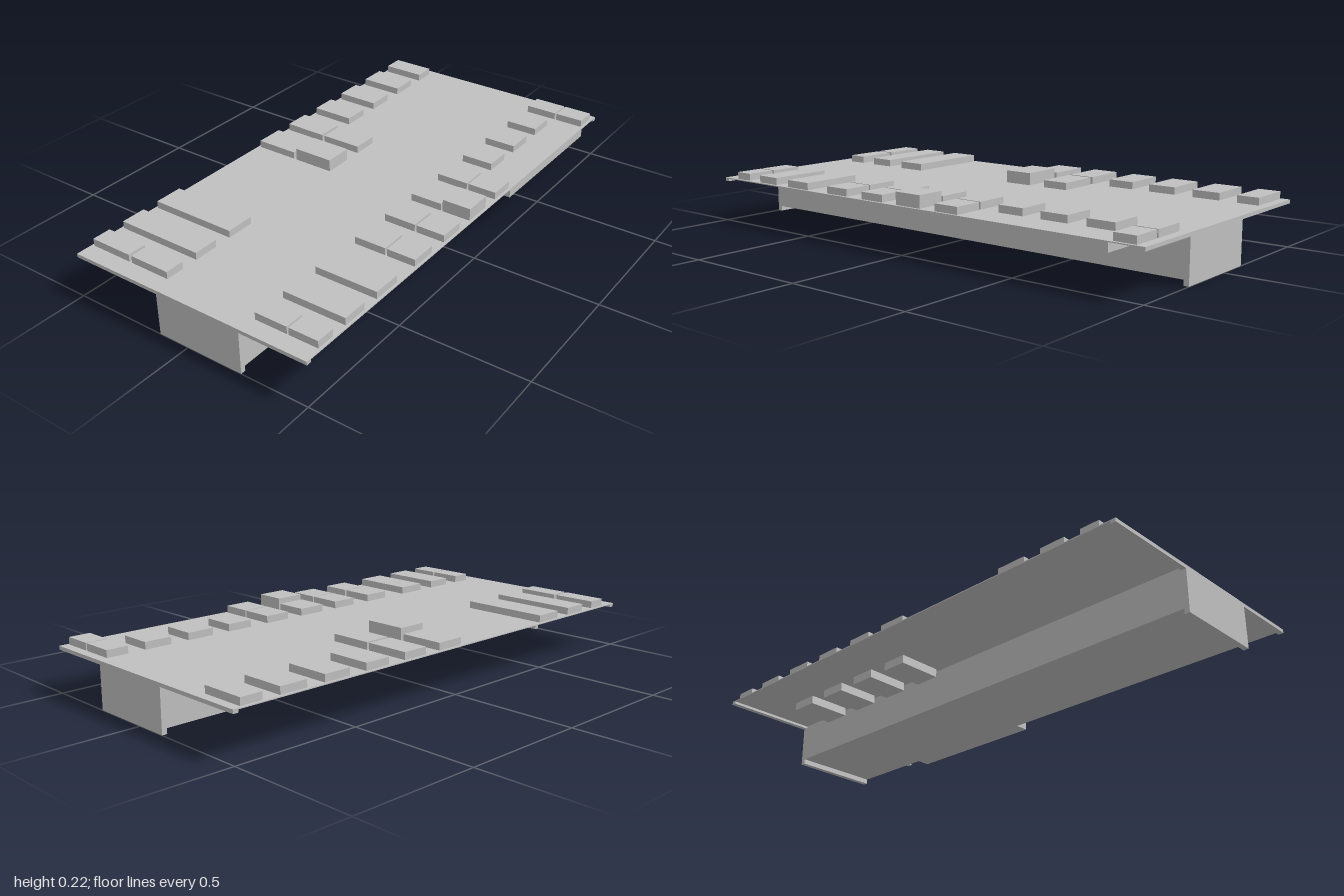
import * as THREE from 'three';

const grey = new THREE.MeshStandardMaterial({ color: 0xc0c0c0 });
grey.name = 'plain grey';

export function createModel() {
  const model = new THREE.Group();
  model.name = 'deckModel';

  // Box given by its [min, max] extents on each axis
  function slab(name, [x0, x1], [y0, y1], [z0, z1]) {
    const mesh = new THREE.Mesh(new THREE.BoxGeometry(x1 - x0, y1 - y0, z1 - z0), grey);
    mesh.position.set((x0 + x1) / 2, (y0 + y1) / 2, (z0 + z1) / 2);
    mesh.name = name;
    model.add(mesh);
  }

  const TOP = 0.177;
  const keel = [-0.125, 0.23];

  // Thin deck and the deep keel beneath it
  slab('deck', [-0.5, 0.5], [TOP - 0.004, TOP], [-1, 1]);
  slab('keel', keel, [0.02, TOP - 0.004], [-0.98, 0.98]);

  // End lips and end plates, front and back
  for (const z of [[-1, -0.98], [0.98, 1]]) {
    slab('endLipRight', [-0.5, keel[0]], [0.163, TOP - 0.004], z);
    slab('endLipLeft', [keel[1], 0.5], [0.163, TOP - 0.004], z);
    slab('endPlate', keel, [0, TOP - 0.004], z);
  }

  // Blocks on the deck: columns across, rows from back to front
  const columns = {
    A: [-0.49, -0.317], B: [-0.305, -0.14], W: [-0.49, -0.14],
    C: [0.24, 0.368], D: [0.375, 0.49], V: [0.24, 0.49],
  };
  const rows = [
    [-0.965, -0.88, 'ACD'], [-0.81, -0.70, 'AC'], [-0.625, -0.515, 'AC'], [-0.44, -0.335, 'AC'],
    [-0.255, -0.15, 'ABCD'], [-0.08, 0.035, 'ABCD'], [0.105, 0.21, 'CD'], [0.29, 0.395, 'CD'],
    [0.505, 0.62, 'WV'], [0.69, 0.79, 'WV'], [0.855, 0.93, 'ABCD'],
  ];
  rows.forEach(([z0, z1, used], row) => {
    for (const key of used) {
      const raised = row === 5 && 'BD'.includes(key);
      slab(raised ? 'raisedBlock' : 'deckBlock', columns[key], [TOP, raised ? 0.225 : 0.205], [z0, z1]);
    }
  });

  // Parts hanging under the deck
  slab('sideUnderBlock', [0.37, 0.5], [0.14, TOP - 0.004], [-0.87, -0.25]);
  for (const [z0, z1] of rows.slice(1, 5)) {
    slab('underBlock', [-0.315, -0.14], [0.14, TOP - 0.004], [z0, z1]);
  }
  return model;
}
